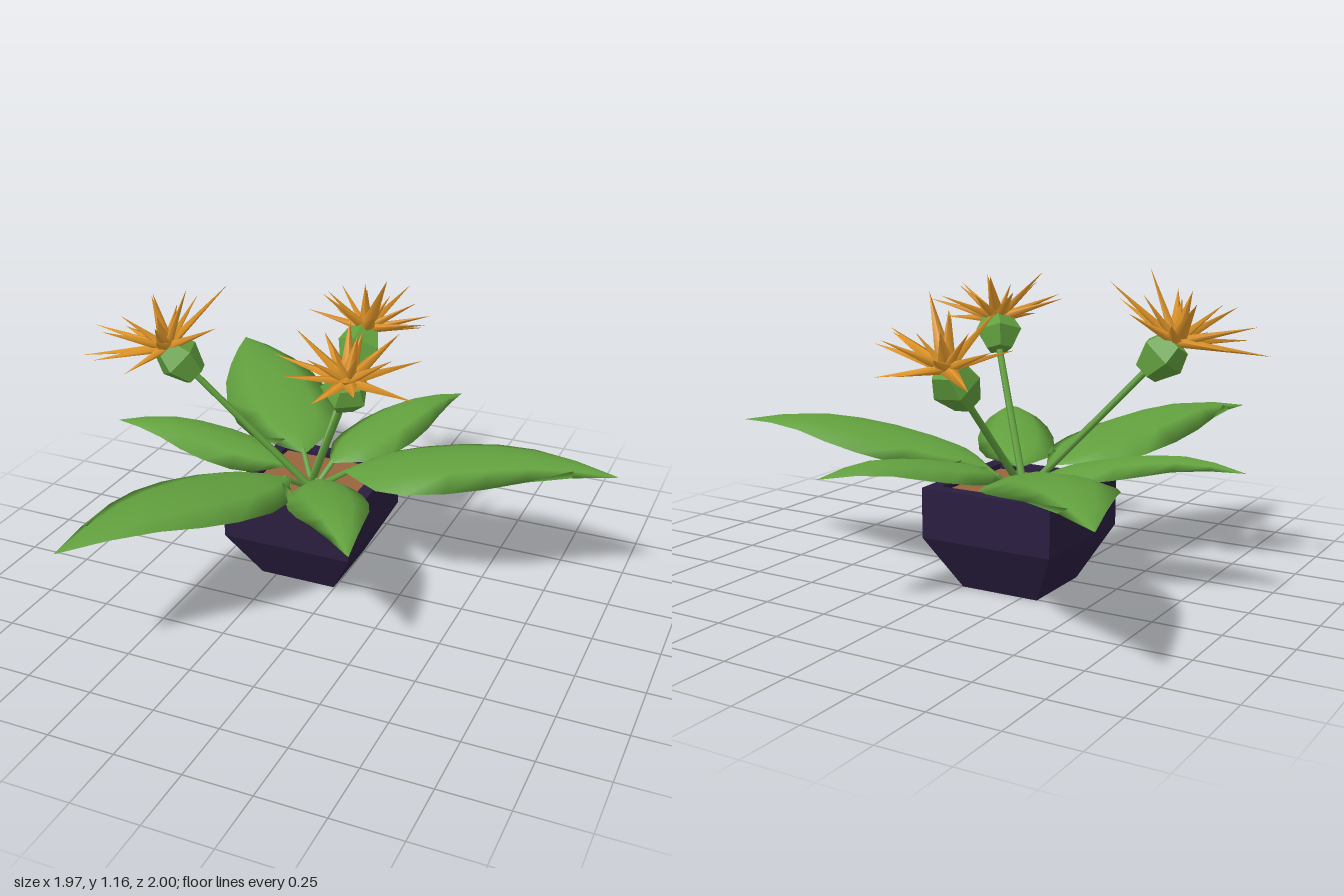
import * as THREE from 'three';

const mat = (name, color) => {
  const m = new THREE.MeshStandardMaterial({ color });
  m.name = name;
  return m;
};

// Lathe with a separate normal for every face
const lathe = (points, sides, start = 0) => {
  const g = new THREE.LatheGeometry(points.map(([r, y]) => new THREE.Vector2(r, y)), sides, start).toNonIndexed();
  g.computeVertexNormals();
  return g;
};

const UP = new THREE.Vector3(0, 1, 0);
const CENTER = new THREE.Vector3(-0.157, 0, -0.103);

// Arched blade along +x: rows of [distance, half width, ridge height]
const BLADE = [
  [0.13, 0.012, 0.425], [0.21, 0.1, 0.46], [0.29, 0.175, 0.487], [0.4, 0.212, 0.512], [0.56, 0.217, 0.542],
  [0.7, 0.192, 0.56], [0.84, 0.14, 0.568], [1.0, 0.073, 0.555], [1.16, 0.002, 0.525],
];
// Closed cross-section: [side, drop below the ridge], over the top and back underneath
const SECTION = [
  [-1, 0.055], [-0.55, 0.017], [0, 0], [0.55, 0.017], [1, 0.055], [0.55, 0.04], [0, 0.025], [-0.55, 0.04],
];

function bladeGeometry(length, width, lift) {
  const pos = [], idx = [], n = SECTION.length;
  BLADE.forEach(([d, w, y], i) => {
    for (const [s, drop] of SECTION) {
      pos.push(d * length, 0.36 + (y - 0.36) * lift - drop * (w / 0.217), s * w * width);
    }
    if (i === 0) return;
    for (let j = 0; j < n; j++) {
      const a = (i - 1) * n + j, b = (i - 1) * n + (j + 1) % n;
      idx.push(a, b, a + n, b, b + n, a + n);
    }
  });
  const g = new THREE.BufferGeometry();
  g.setAttribute('position', new THREE.Float32BufferAttribute(pos, 3));
  g.setIndex(idx);
  g.computeVertexNormals();
  return g;
}

function stalkGeometry(from, to, radius) {
  const g = new THREE.CylinderGeometry(radius * 0.9, radius, from.distanceTo(to), 6);
  const dir = to.clone().sub(from).normalize();
  g.applyQuaternion(new THREE.Quaternion().setFromUnitVectors(UP, dir));
  const mid = from.clone().add(to).multiplyScalar(0.5);
  return g.translate(mid.x, mid.y, mid.z);
}

export function createModel() {
  const model = new THREE.Group();
  model.name = 'pottedFlower';
  const purple = mat('pot purple', 0x2a1e40);
  const brown = mat('soil brown', 0x99643f);
  const green = mat('leaf green', 0x62a03e);
  const orange = mat('petal orange', 0xe5992a);

  const add = (parent, name, geo, material) => {
    const m = new THREE.Mesh(geo, material);
    m.name = name;
    parent.add(m);
    return m;
  };

  // Square pot with tapered foot and a thick rim
  const k = Math.SQRT2;
  const profile = [[0, 0], [0.153, 0], [0.258, 0.195], [0.258, 0.38], [0.207, 0.38], [0.207, 0.34]];
  add(model, 'pot', lathe(profile.map(([r, y]) => [r * k, y]), 4, Math.PI / 4), purple).position.copy(CENTER);
  const soil = add(model, 'soil', new THREE.PlaneGeometry(0.416, 0.416).rotateX(-Math.PI / 2), brown);
  soil.position.set(CENTER.x, 0.36, CENTER.z);

  // Three large and three small leaves: tip x, tip z, width factor, lift factor
  const leaves = [
    [-0.9, -1.0, 1, 1], [0.985, -0.28, 1, 1], [-0.59, 0.995, 1, 1],
    [0.197, -0.835, 0.68, 0.84], [0.285, 0.59, 0.68, 0.84], [-0.985, -0.04, 0.68, 0.84],
  ];
  leaves.forEach(([x, z, width, lift], i) => {
    const dx = x - CENTER.x, dz = z - CENTER.z;
    const length = Math.hypot(dx, dz) / 1.16;
    const leaf = new THREE.Group();
    leaf.name = (i < 3 ? 'largeLeaf' : 'smallLeaf') + (i % 3 + 1);
    leaf.position.copy(CENTER);
    leaf.rotation.y = Math.atan2(-dz, dx);
    add(leaf, 'blade', bladeGeometry(length, width, lift), green);
    const end = new THREE.Vector3(0.15 * length, 0.36 + 0.068 * lift, 0);
    add(leaf, 'leafStalk', stalkGeometry(new THREE.Vector3(0.02, 0.34, 0), end, 0.012), green);
    model.add(leaf);
  });

  // Flowers: bud base, burst centre and petal scale
  const flowers = [
    [[-0.575, 0.8, 0.045], [-0.67, 0.905, 0.08], 1.03],
    [[-0.127, 0.725, -0.425], [-0.115, 0.85, -0.53], 1],
    [[0.065, 0.825, 0.12], [0.1, 0.93, 0.165], 0.9],
  ];
  // Rings of petals: count, angle from the axis, length
  const rings = [[9, 1.3, 0.28], [6, 0.9, 0.25], [3, 0.4, 0.18]];
  flowers.forEach(([b, c, scale], f) => {
    const base = new THREE.Vector3(...b), center = new THREE.Vector3(...c);
    const axis = center.clone().sub(base).normalize();
    const flower = new THREE.Group();
    flower.name = 'flower' + (f + 1);
    model.add(flower);

    const root = new THREE.Vector3(CENTER.x - 0.01, 0.34, CENTER.z + 0.01);
    add(flower, 'stem', stalkGeometry(root, base, 0.014), green);

    const height = base.distanceTo(center);
    const budGeo = lathe([[0, -0.01], [0.05, -0.005], [0.09, height * 0.55], [0.06, height], [0, height]], 5);
    const bud = add(flower, 'bud', budGeo, green);
    bud.position.copy(base);
    bud.quaternion.setFromUnitVectors(UP, axis);

    // Flat pointed petals fanning out, tilted less than the bud
    const burst = new THREE.Group();
    burst.name = 'petals';
    burst.position.copy(center);
    burst.quaternion.setFromUnitVectors(UP, axis.clone().add(UP).normalize());
    flower.add(burst);
    rings.forEach(([count, angle, length], r) => {
      for (let i = 0; i < count; i++) {
        const wobble = Math.sin(i * 4.7 + r * 2.1 + f * 1.3);
        const len = scale * length * (1 + 0.14 * wobble);
        const geo = new THREE.ConeGeometry(0.034, len, 4).translate(0, len / 2, 0).scale(1, 1, 0.55);
        const petal = add(burst, 'petal', geo, orange);
        const turn = (i / count) * Math.PI * 2 + r * 0.5 + f + wobble * 0.15;
        petal.rotation.set(angle + 0.13 * Math.cos(i * 2.9 + f), turn, 0, 'YXZ');
      }
    });
  });
  return model;
}
